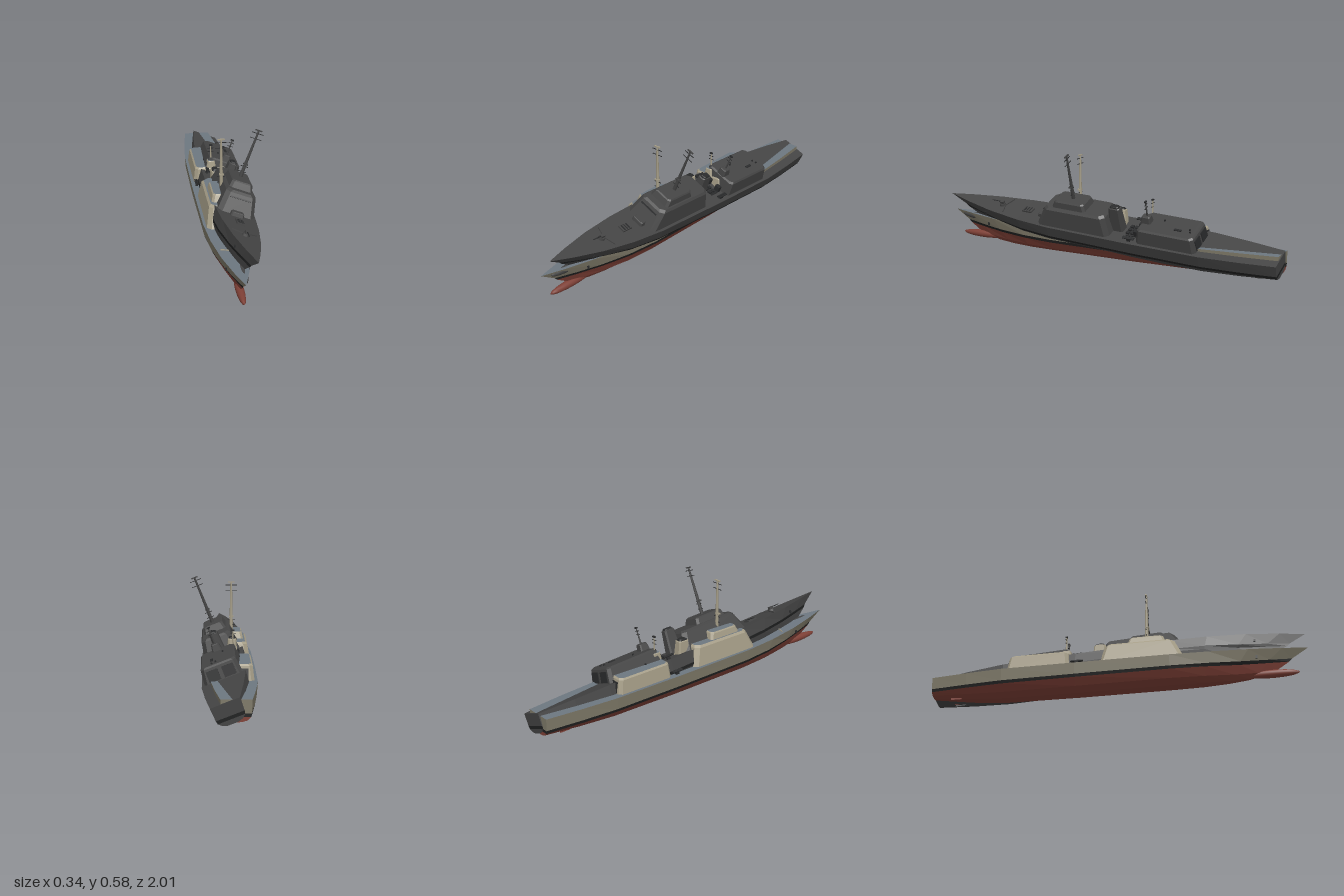
import * as THREE from 'three';

const material = (name, color) => {
  const m = new THREE.MeshStandardMaterial({ color });
  m.name = name;
  return m;
};

// Flat-shaded geometry from a list of four-cornered faces
function quads(faces) {
  const p = [];
  for (const [a, b, c, d] of faces) p.push(...a, ...b, ...c, ...a, ...c, ...d);
  const g = new THREE.BufferGeometry();
  g.setAttribute('position', new THREE.Float32BufferAttribute(p, 3));
  g.computeVertexNormals();
  return g;
}

function add(parent, name, geometry, mat, x = 0, y = 0, z = 0) {
  const mesh = new THREE.Mesh(geometry, mat);
  mesh.name = name;
  mesh.position.set(x, y, z);
  parent.add(mesh);
  return mesh;
}
const box = (w, h, d) => new THREE.BoxGeometry(w, h, d);

// Tapered block with cut corners and a bevelled roof edge
// bottom and top are [halfWidth, zBack, zFront, y]
function block(parent, name, bottom, top, cut, wall, roof) {
  const ring = ([w, zb, zf, y], c) => [
    [-w + c, y, zf], [w - c, y, zf], [w, y, zf - c], [w, y, zb + c],
    [w - c, y, zb], [-w + c, y, zb], [-w, y, zb + c], [-w, y, zf - c]];
  const b = cut * 0.5, [w, zb, zf, y] = top;
  const rings = [ring(bottom, cut), ring([w, zb, zf, y - b], cut), ring([w - b, zb + b, zf - b, y], cut)];
  const sides = [];
  for (let r = 0; r < 2; r++)
    for (let i = 0; i < 8; i++) {
      const j = (i + 1) % 8;
      sides.push([rings[r][i], rings[r][j], rings[r + 1][j], rings[r + 1][i]]);
    }
  const t = rings[2];
  add(parent, name + 'Walls', quads(sides), wall);
  add(parent, name + 'Roof', quads([[t[0], t[1], t[2], t[7]], [t[7], t[2], t[3], t[6]], [t[6], t[3], t[4], t[5]]]), roof);
}

// Stations: z, half-widths at deck, waterline, bilge, keel, then heights of keel, waterline, deck
const STATIONS = [
  [-1, .072, .066, .05, .025, .037, .06, .14],
  [-.8, .096, .088, .065, .03, .018, .06, .14],
  [-.6, .114, .104, .075, .034, .004, .06, .14],
  [-.2, .117, .108, .08, .035, 0, .06, .138],
  [.3, .114, .104, .078, .035, 0, .062, .138],
  [.5, .1, .087, .065, .03, 0, .065, .141],
  [.7, .072, .055, .04, .02, .003, .071, .147],
  [.87, .035, .025, .018, .008, .01, .081, .154],
  [1, 0, 0, 0, 0, .03, .09, .16]];
const STEM = [.78, .84, .9, .915, 1]; // raked bow, keel to deck

function buildHull(ship, m) {
  const P = (s, level, i) => {
    const [z, dw, ww, bw, kw, ky, wy, dy] = STATIONS[i];
    const x = [kw, bw, ww, ww + (dw - ww) * .5, dw][level];
    const y = [ky, ky + (wy - ky) * .35, wy, wy + .016, dy][level];
    return [s * x, y, z > .4 ? .4 + (z - .4) * (STEM[level] - .4) / .6 : z];
  };
  const bands = { bottom: [], stripe: [], hull: [], deck: [] };
  const bandOf = ['bottom', 'bottom', 'stripe', 'hull'];
  for (let i = 0; i < STATIONS.length - 1; i++) {
    const n = i + 1;
    for (let l = 0; l < 4; l++) {
      bands[bandOf[l]].push(
        [P(1, l, i), P(1, l + 1, i), P(1, l + 1, n), P(1, l, n)],
        [P(-1, l, n), P(-1, l + 1, n), P(-1, l + 1, i), P(-1, l, i)]);
    }
    bands.bottom.push([P(-1, 0, i), P(1, 0, i), P(1, 0, n), P(-1, 0, n)]);
    bands.deck.push([P(-1, 4, i), P(-1, 4, n), P(1, 4, n), P(1, 4, i)]);
  }
  // flat transom
  for (let l = 0; l < 4; l++)
    bands[bandOf[l]].push([P(-1, l, 0), P(-1, l + 1, 0), P(1, l + 1, 0), P(1, l, 0)]);
  const names = { bottom: 'hullBottom', stripe: 'waterlineStripe', hull: 'hullSides', deck: 'deck' };
  for (const k in bands) add(ship, names[k], quads(bands[k]), m[k]);

  // bow bulb, rudders and anchors
  add(ship, 'bowBulb', new THREE.SphereGeometry(1, 16, 10), m.bottom, 0, .03, .81).scale.set(.021, .021, .14);
  for (const s of [-1, 1]) {
    add(ship, 'rudder', box(.006, .03, .06), m.bottom, s * .033, .033, -.87);
    add(ship, 'anchor', box(.006, .016, .01), m.fitting, s * .056, .108, .74);
  }
}

function buildMast(ship, name, z, y0, y1, r0, r1, bars, m) {
  const g = new THREE.Group();
  g.name = name;
  g.position.z = z;
  add(g, 'pole', new THREE.CylinderGeometry(r1, r0, y1 - y0, 8), m.house, 0, (y0 + y1) / 2, 0);
  for (const [y, half] of bars) add(g, 'yard', box(half * 2, .003, .003), m.fitting, 0, y, 0);
  ship.add(g);
  return g;
}

function buildShip(name, m) {
  const ship = new THREE.Group();
  ship.name = name;
  buildHull(ship, m);

  // superstructure: half-width, back, front, height
  block(ship, 'mainHouse', [.1, -.075, .372, .135], [.082, -.05, .322, .245], .022, m.house, m.deck);
  block(ship, 'bridgeTop', [.064, .07, .275, .243], [.056, .08, .26, .282], .012, m.house, m.deck);
  block(ship, 'hangar', [.1, -.578, -.235, .135], [.091, -.565, -.245, .22], .016, m.house, m.deck);
  block(ship, 'funnel', [.03, -.13, -.045, .135], [.022, -.118, -.055, .274], .008, m.house, m.fitting);
  block(ship, 'funnelCap', [.018, -.112, -.062, .272], [.016, -.11, -.064, .282], .006, m.fitting, m.fitting);
  block(ship, 'aftMastBase', [.026, -.3, -.243, .218], [.02, -.295, -.248, .256], .006, m.house, m.deck);
  block(ship, 'frontHouse', [.036, .36, .4, .135], [.033, .36, .395, .16], .006, m.house, m.deck);

  // bridge windows and hangar doors
  add(ship, 'bridgeWindow', box(.11, .007, .006), m.fitting, 0, .216, .334).rotation.x = -.44;
  for (const s of [-1, 1])
    add(ship, 'hangarDoor', box(.06, .056, .006), m.fitting, s * .04, .172, -.573).rotation.x = .16;

  // main mast with radar bar
  const mast = buildMast(ship, 'mainMast', .165, .28, .546, .01, .005,
    [[.53, .032], [.5, .032], [.34, .021], [.31, .021]], m);
  add(mast, 'radarBar', box(.037, .006, .008), m.house, 0, .547, 0);
  add(mast, 'radarPlatform', box(.024, .007, .018), m.house, 0, .355, .004);

  // aft mast
  const aft = buildMast(ship, 'aftMast', -.275, .254, .345, .005, .003, [[.325, .016], [.305, .016]], m);
  add(aft, 'aftRadar', box(.018, .007, .01), m.fitting, 0, .343, 0);

  // foredeck: gun, breakwater and hatch
  add(ship, 'gunBase', new THREE.CylinderGeometry(.016, .019, .014, 10), m.house, 0, .151, .65);
  add(ship, 'gunMount', box(.018, .014, .024), m.house, 0, .164, .65);
  const barrel = add(ship, 'gunBarrel', new THREE.CylinderGeometry(.002, .003, .06, 6), m.fitting, 0, .168, .685);
  barrel.rotation.x = Math.PI / 2;
  for (const s of [-1, 1])
    add(ship, 'breakwater', box(.07, .008, .004), m.house, s * .032, .146, .622).rotation.y = s * .3;
  add(ship, 'foredeckHatch', box(.042, .012, .06), m.house, 0, .144, .48);
  for (let i = 0; i < 3; i++) add(ship, 'hatchSlot', box(.034, .003, .008), m.fitting, 0, .15, .464 + i * .016);

  // midship well: vents, launchers and crane
  for (let i = 0; i < 6; i++)
    add(ship, 'vent', box(.02, .01, .018), m.fitting, (i % 3 - 1) * .028, .143, -.162 - .026 * Math.floor(i / 3));
  for (const s of [-1, 1]) {
    add(ship, 'launcherBase', box(.012, .016, .02), m.fitting, s * .09, .145, -.195);
    for (const dx of [-.005, .005]) {
      const tube = add(ship, 'launcherTube', new THREE.CylinderGeometry(.005, .005, .065, 8), m.fitting, s * .09 + dx, .157, -.195);
      tube.rotation.x = Math.PI / 2;
    }
    add(ship, 'deckMachine', box(.03, .035, .022), m.fitting, s * .035, .155, -.217);
  }

  // hangar roof fittings
  add(ship, 'roofHatch', box(.014, .005, .04), m.fitting, .03, .222, -.46);
  for (const [x, z] of [[.03, -.53], [-.03, -.36], [.01, -.52]])
    add(ship, 'roofVent', box(.008, .008, .008), m.fitting, x, .223, z);
  return ship;
}

export function createModel() {
  const model = new THREE.Group();
  model.name = 'twoWarships';
  const fitting = material('blackFitting', 0x2a2b2c);
  const stripe = material('waterlineBlack', 0x202121);
  const dark = material('darkGrey', 0x444444);

  // painted ship standing upright
  const painted = buildShip('paintedShip', {
    hull: material('hullOlive', 0x7d7867), bottom: material('bottomRed', 0x7e4036),
    deck: material('deckBlueGrey', 0x6d7780), house: material('houseBeige', 0xa59d87), stripe, fitting });
  painted.position.x = -.055;

  // dark ship rolled to its left with its bow raised
  const darkShip = buildShip('darkShip', { hull: dark, bottom: dark, deck: dark, house: dark, stripe, fitting });
  darkShip.position.set(-.055, .056, 0);
  darkShip.rotation.set(-.06, 0, -.378);

  model.add(painted, darkShip);
  return model;
}
